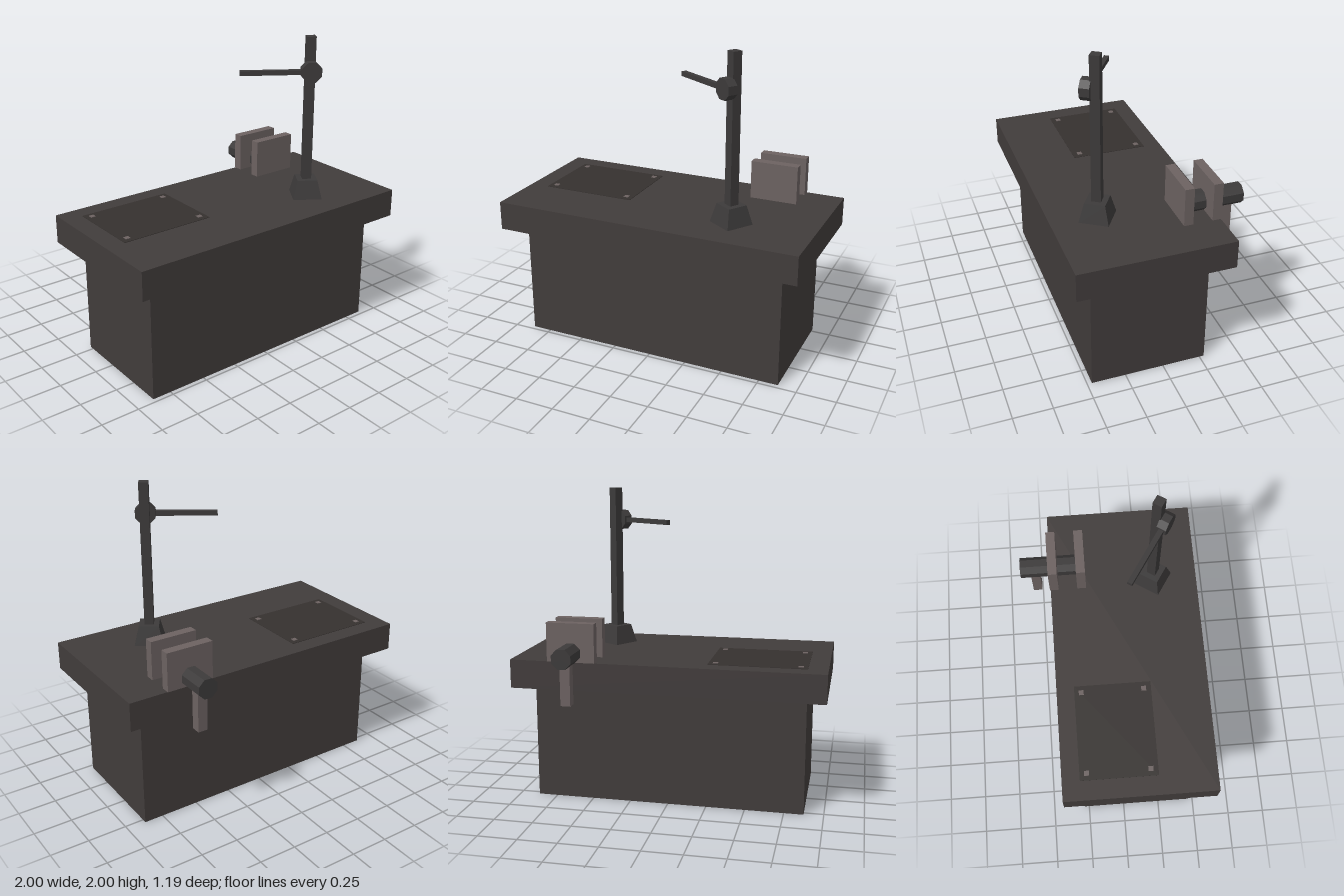
import * as THREE from 'three';

const material = (color) => new THREE.MeshStandardMaterial({ color, flatShading: true, side: THREE.DoubleSide });

// Box given by its min and max corners; faces listed in `open` are left out
// (2 = top, 3 = bottom)
function box(min, max, open = []) {
  const size = max.map((v, i) => v - min[i]);
  const geo = new THREE.BoxGeometry(...size);
  const index = Array.from(geo.index.array).filter((_, i) => !open.includes(Math.floor(i / 6)));
  geo.setIndex(index);
  geo.clearGroups();
  geo.translate(...max.map((v, i) => (v + min[i]) / 2));
  return geo;
}

// Eight-sided rod along z, flats facing up and down
function octagonRod(apothem, z0, z1) {
  const r = apothem / Math.cos(Math.PI / 8);
  const geo = new THREE.CylinderGeometry(r, r, z1 - z0, 8);
  geo.rotateY(Math.PI / 8);
  geo.rotateX(Math.PI / 2);
  return geo.translate(0, 0, (z0 + z1) / 2);
}

export function createModel() {
  const model = new THREE.Group();
  model.name = 'workbench';
  const wood = material(0x413c3b);
  const iron = material(0x3c3a3a);
  const jawMetal = material(0x6c6261);
  const matCloth = material(0x35312f);

  const add = (parent, name, geometry, mat) => {
    const mesh = new THREE.Mesh(geometry, mat);
    mesh.name = name;
    parent.add(mesh);
    return mesh;
  };

  // Bench: hollow cabinet and overhanging top, both open underneath
  add(model, 'cabinet', box([-0.875, 0, -0.28], [0.875, 0.755, 0.47], [2, 3]), wood);
  add(model, 'benchTop', box([-1, 0.755, -0.4], [1, 0.94, 0.59], [3]), wood);

  // Work mat with a small stud near each corner
  const workMat = new THREE.Group();
  workMat.name = 'workMat';
  model.add(workMat);
  add(workMat, 'matSheet', box([-0.875, 0.939, -0.285], [-0.255, 0.943, 0.215], [3]), matCloth);
  for (const x of [-0.83, -0.3]) {
    for (const z of [-0.24, 0.167]) {
      add(workMat, 'matStud', box([x - 0.016, 0.94, z - 0.016], [x + 0.016, 0.946, z + 0.016], [3]), jawMetal);
    }
  }

  // Vise: two jaws, an octagonal screw and a hanging handle
  const vise = new THREE.Group();
  vise.name = 'vise';
  model.add(vise);
  for (const [z0, z1] of [[-0.22, -0.16], [-0.405, -0.345]]) {
    add(vise, 'jaw', box([0.44, 0.94, z0], [0.75, 1.19, z1]), jawMetal);
  }
  add(vise, 'screw', octagonRod(0.062, -0.595, -0.2), iron).position.set(0.592, 1.0, 0);
  add(vise, 'viseHandle', box([0.56, 0.69, -0.53], [0.624, 0.96, -0.468]), jawMetal);

  // Post stand, turned on the bench
  const stand = new THREE.Group();
  stand.name = 'stand';
  stand.position.set(0.48, 0, 0.293);
  stand.rotation.y = THREE.MathUtils.degToRad(-33);
  model.add(stand);
  const foot = new THREE.CylinderGeometry(0.13 / Math.SQRT2, 0.188 / Math.SQRT2, 0.125, 4);
  foot.rotateY(Math.PI / 4);
  add(stand, 'foot', foot, iron).position.y = 1.0;
  add(stand, 'post', box([-0.03, 1.0, -0.03], [0.03, 2, 0.03]), iron);
  add(stand, 'pivot', octagonRod(0.063, 0.022, 0.084), iron).position.y = 1.785;
  add(stand, 'arm', box([-0.45, 1.77, 0.037], [0, 1.8, 0.069]), iron);

  return model;
}
